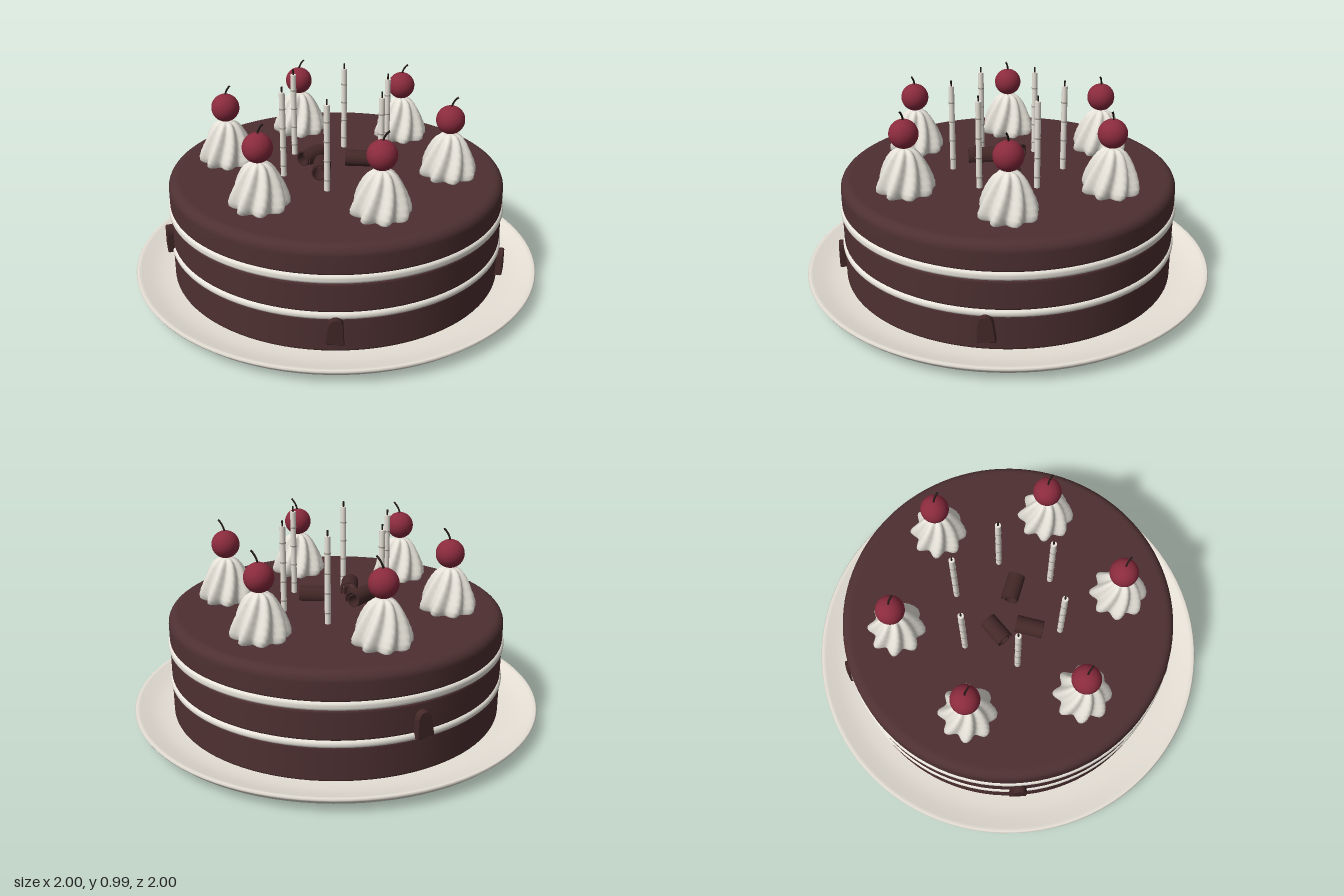
import * as THREE from 'three';
import { mergeVertices } from 'three/addons/utils/BufferGeometryUtils.js';

const mat = (name, color, side = THREE.FrontSide) => {
  const m = new THREE.MeshStandardMaterial({ color, side });
  m.name = name;
  return m;
};

export function createModel() {
  const sponge = mat('chocolate sponge', 0x4e3031);
  const chocolate = mat('dark chocolate', 0x432827, THREE.DoubleSide);
  const cream = mat('cream', 0xf0ece2);
  const porcelain = mat('porcelain', 0xe8e2d8);
  const cherryRed = mat('cherry red', 0x8a2b3d);
  const wax = mat('candle wax', 0xe9e4da);
  const band = mat('candle band', 0xa39c92);
  const dark = mat('stem and wick', 0x241a18);

  const cake = new THREE.Group();
  cake.name = 'layerCake';
  const add = (parent, name, geo, material, x = 0, y = 0, z = 0) => {
    const mesh = new THREE.Mesh(geo, material);
    mesh.name = name;
    mesh.position.set(x, y, z);
    parent.add(mesh);
    return mesh;
  };
  const group = (name, x, y, z) => {
    const g = new THREE.Group();
    g.name = name;
    g.position.set(x, y, z);
    cake.add(g);
    return g;
  };
  const lathe = (pts, seg = 96) =>
    new THREE.LatheGeometry(pts.map(([r, y]) => new THREE.Vector2(r, y)), seg);

  // Disc with quarter-round edges of separate bottom and top radius
  const disc = (r, y0, y1, rb, rt) => {
    const pts = [[0, y0], [r - rb - 0.01, y0]];
    for (let i = 0; i <= 6; i++) {
      const a = (i / 6) * Math.PI / 2;
      pts.push([r - rb + rb * Math.sin(a), y0 + rb - rb * Math.cos(a)]);
    }
    for (let i = 0; i <= 6; i++) {
      const a = (i / 6) * Math.PI / 2;
      pts.push([r - rt + rt * Math.cos(a), y1 - rt + rt * Math.sin(a)]);
    }
    pts.push([r - rt - 0.01, y1], [0, y1]);
    return lathe(pts);
  };

  // Plate with a shallow raised rim
  add(cake, 'plate', lathe([[0, 0], [0.83, 0], [0.85, 0.002], [0.92, 0.012], [0.97, 0.036], [0.995, 0.06],
    [1, 0.069], [0.994, 0.075], [0.975, 0.072], [0.93, 0.056], [0.87, 0.044], [0.8, 0.04], [0, 0.04]]), porcelain);

  // Three sponge layers and two cream fillings
  add(cake, 'bottomSponge', disc(0.81, 0.035, 0.21, 0.015, 0.015), sponge);
  add(cake, 'middleSponge', disc(0.81, 0.23, 0.38, 0.015, 0.015), sponge);
  add(cake, 'topSponge', disc(0.81, 0.41, 0.547, 0.015, 0.045), sponge);
  add(cake, 'lowerFilling', disc(0.818, 0.2, 0.236, 0.016, 0.016), cream);
  add(cake, 'upperFilling', disc(0.818, 0.375, 0.417, 0.016, 0.016), cream);

  // Piped rosette: a lathe whose radius is fluted and twisted with height
  const rosette = () => {
    let geo = lathe([[0.115, 0], [0.127, 0.012], [0.128, 0.035], [0.121, 0.065], [0.109, 0.1],
      [0.094, 0.135], [0.077, 0.168], [0.06, 0.192], [0.04, 0.208], [0, 0.214]], 96);
    const p = geo.attributes.position;
    for (let i = 0; i < p.count; i++) {
      const x = p.getX(i), y = p.getY(i), z = p.getZ(i);
      const a = Math.atan2(z, x);
      const k = 1 + 0.13 * Math.cos(8 * (a + y * 2.4)) - 0.04;
      p.setXYZ(i, x * k, y, z * k);
    }
    geo.deleteAttribute('normal');
    geo.deleteAttribute('uv');
    geo = mergeVertices(geo, 1e-4);
    geo.computeVertexNormals();
    return geo;
  };
  const rosetteGeo = rosette();
  const cherryGeo = new THREE.SphereGeometry(0.068, 28, 20);
  const stemGeo = new THREE.TubeGeometry(new THREE.QuadraticBezierCurve3(
    new THREE.Vector3(0, 0.33, 0), new THREE.Vector3(0.002, 0.372, -0.004),
    new THREE.Vector3(0.035, 0.397, -0.006)), 10, 0.0045, 8);
  for (let i = 0; i < 6; i++) {
    const a = Math.PI / 6 + i * Math.PI / 3;
    const g = group('cherryRosette', 0.543 * Math.cos(a), 0.546, 0.543 * Math.sin(a));
    add(g, 'rosette', rosetteGeo, cream);
    add(g, 'cherry', cherryGeo, cherryRed, 0, 0.28, 0);
    add(g, 'cherryStem', stemGeo, dark);
  }

  // Ring of slim banded candles
  const candleGeo = new THREE.CylinderGeometry(0.014, 0.014, 0.42, 16);
  const bandGeo = new THREE.CylinderGeometry(0.0152, 0.0152, 0.006, 16);
  const wickGeo = new THREE.CylinderGeometry(0.004, 0.004, 0.03, 8);
  for (let i = 0; i < 6; i++) {
    const a = i * Math.PI / 3;
    const g = group('candle', 0.268 * Math.cos(a), 0.545, 0.268 * Math.sin(a));
    add(g, 'candleStick', candleGeo, wax, 0, 0.21, 0);
    for (let j = 0; j < 4; j++) add(g, 'candleBand', bandGeo, band, 0, 0.055 + j * 0.095, 0);
    add(g, 'wick', wickGeo, dark, 0, 0.432, 0);
  }

  // Rolled chocolate curls: an extruded spiral strip
  const spiral = new THREE.Shape();
  const turns = 36, at = (i, off) => {
    const t = i / turns, a = -0.4 + t * Math.PI * 2.6, r = 0.047 - 0.019 * t - off;
    return [r * Math.cos(a), r * Math.sin(a)];
  };
  spiral.moveTo(...at(0, 0));
  for (let i = 1; i <= turns; i++) spiral.lineTo(...at(i, 0));
  for (let i = turns; i >= 0; i--) spiral.lineTo(...at(i, 0.007));
  const curlGeo = new THREE.ExtrudeGeometry(spiral, { depth: 0.13, bevelEnabled: false });
  curlGeo.translate(0, 0, -0.065);
  for (const [x, z, yaw] of [[-0.115, 0.048, 0], [0.09, -0.065, 2.17], [0.018, 0.138, 0.62]]) {
    add(cake, 'chocolateCurl', curlGeo, chocolate, x, 0.594, z).rotation.y = yaw;
  }

  // Tapered chocolate chips pressed into the side
  const chipShape = new THREE.Shape();
  chipShape.moveTo(-0.038, -0.058);
  chipShape.lineTo(0.038, -0.058);
  chipShape.lineTo(0.03, 0.03);
  chipShape.quadraticCurveTo(0.022, 0.06, 0, 0.06);
  chipShape.quadraticCurveTo(-0.022, 0.06, -0.03, 0.03);
  chipShape.closePath();
  const chipGeo = new THREE.ExtrudeGeometry(chipShape, {
    depth: 0.045, bevelThickness: 0.006, bevelSize: 0.004, bevelSegments: 2, curveSegments: 8 });
  for (const [x, y, z, lean] of [[0.51, 0.153, 0.64, -0.05], [-0.48, 0.278, 0.66, -0.1],
    [0.755, 0.153, -0.325, 0.05], [-0.745, 0.278, -0.35, 0.08]]) {
    const a = Math.atan2(x, z);
    const chip = add(cake, 'sideChip', chipGeo, chocolate, 0.79 * Math.sin(a), y, 0.79 * Math.cos(a));
    chip.rotation.set(0, a, lean);
  }
  return cake;
}
